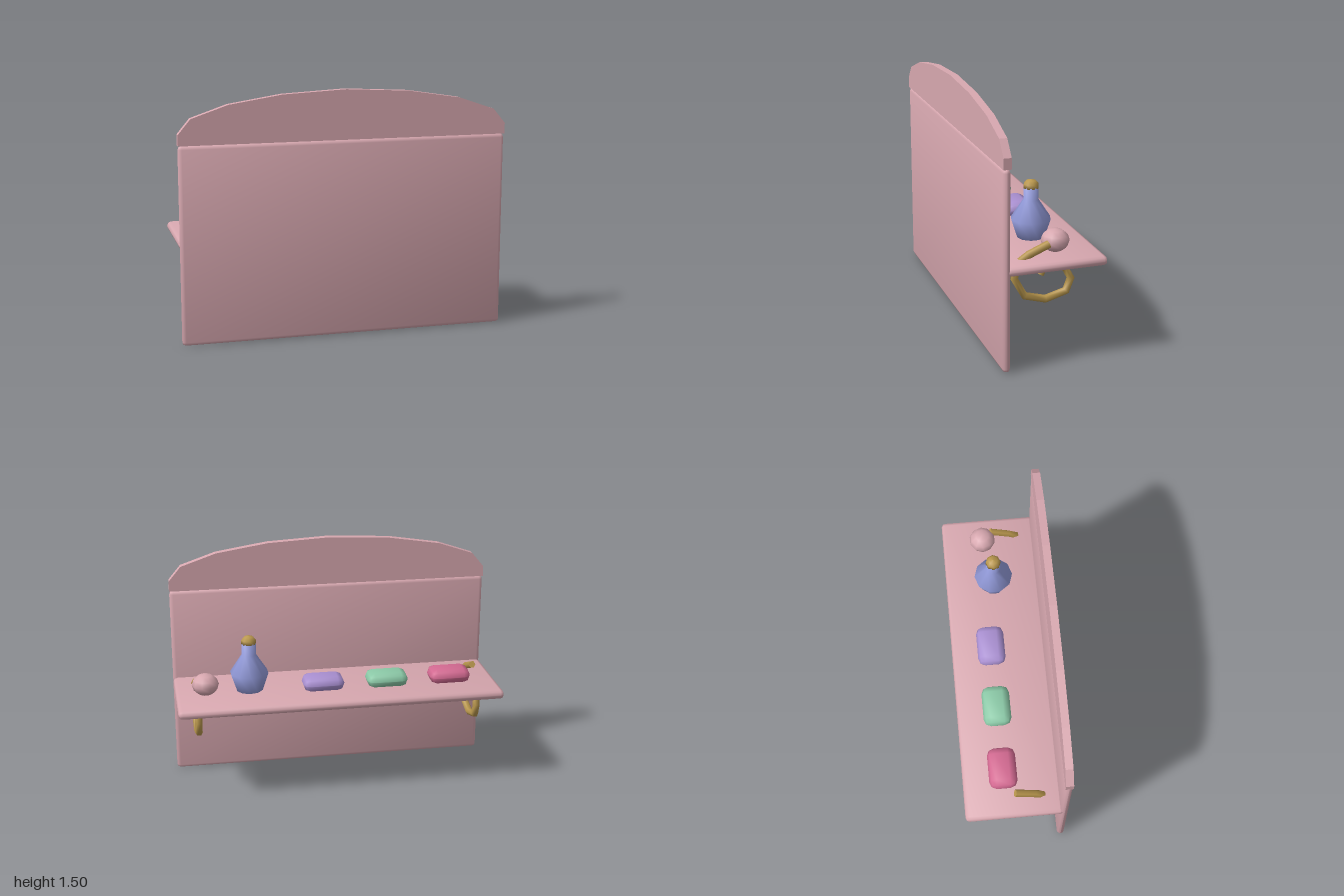
import * as THREE from 'three';
import { mergeVertices } from 'three/addons/utils/BufferGeometryUtils.js';
import { RoundedBoxGeometry } from 'three/addons/geometries/RoundedBoxGeometry.js';

const material = (name, color) => {
  const m = new THREE.MeshStandardMaterial({ color });
  m.name = name;
  return m;
};

// Box with softly shaded chamfered edges: normals come from a small cube
// whose corners are then pushed out to the full size.
function chamferBox(w, h, d, r) {
  const s = r * 3;
  let g = new RoundedBoxGeometry(s, s, s, 1, r);
  g.deleteAttribute('normal');
  g.deleteAttribute('uv');
  g.clearGroups();
  g = mergeVertices(g, 1e-5);
  g.computeVertexNormals();
  const p = g.attributes.position;
  for (let i = 0; i < p.count; i++) {
    p.setXYZ(i,
      p.getX(i) + Math.sign(p.getX(i)) * (w - s) / 2,
      p.getY(i) + Math.sign(p.getY(i)) * (h - s) / 2,
      p.getZ(i) + Math.sign(p.getZ(i)) * (d - s) / 2);
  }
  return g;
}

export function createModel() {
  const group = new THREE.Group();
  group.name = 'washShelf';

  const pink = material('dusty pink', 0xd8a8b0);
  const rose = material('rose', 0xd46a92);
  const green = material('mint green', 0x8ccaa8);
  const purple = material('lavender', 0xaa90d2);
  const blue = material('periwinkle', 0x949cdc);
  const gold = material('gold', 0xba984e);

  const add = (name, geometry, mat, x = 0, y = 0, z = 0, parent = group) => {
    const mesh = new THREE.Mesh(geometry, mat);
    mesh.name = name;
    mesh.position.set(x, y, z);
    parent.add(mesh);
    return mesh;
  };

  // Upright panel and shelf board
  add('panel', chamferBox(2, 1.2, 0.046, 0.0229), pink, 0, 0.6, 0.29);
  add('shelf', chamferBox(2, 0.056, 0.6, 0.025), pink, 0, 0.603, -0.012);

  // Arched crest on top of the panel
  const half = [[1, 1.2], [1, 1.265], [0.925, 1.355], [0.705, 1.43], [0.385, 1.48]];
  const outline = [...half, [0, 1.5], ...half.map(([x, y]) => [-x, y]).reverse()];
  const crest = new THREE.ExtrudeGeometry(
    new THREE.Shape(outline.map(([x, y]) => new THREE.Vector2(x, y))),
    { depth: 0.046, bevelEnabled: false });
  add('crest', crest, pink, 0, 0, 0.267);

  // Row of soap bars
  [[-0.703, rose], [-0.305, green], [0.095, purple]].forEach(([x, mat]) =>
    add('soapBar', chamferBox(0.255, 0.092, 0.172, 0.045), mat, x, 0.674, -0.064));

  // Perfume bottle with domed stopper
  const bottle = [[0, 0.625], [0.08, 0.625], [0.12, 0.745], [0.045, 0.86], [0.045, 0.935], [0, 0.935]];
  add('bottle', new THREE.LatheGeometry(bottle.map(([x, y]) => new THREE.Vector2(x, y)), 10),
    blue, 0.545, 0, -0.008);
  const stopper = [[0, 0.93], [0.047, 0.93], [0.045, 0.955], [0.028, 0.975], [0, 0.981]];
  add('stopper', new THREE.LatheGeometry(stopper.map(([x, y]) => new THREE.Vector2(x, y)), 8),
    gold, 0.545, 0, -0.008);

  // Cotton ball
  add('cottonBall', new THREE.SphereGeometry(0.083, 10, 6).scale(1, 0.81, 1), pink, 0.82, 0.7, -0.056);

  // Curled brackets, given as [z, y] points along the curl
  const curl = [[0, 0.7], [0.12, 0.65], [0.19, 0.605], [0.207, 0.515], [0.145, 0.405],
    [0.02, 0.37], [-0.105, 0.405], [-0.133, 0.48], [-0.092, 0.555], [-0.02, 0.58],
    [0.03, 0.568], [0.053, 0.525]];
  const path = new THREE.CatmullRomCurve3(curl.map(([z, y]) => new THREE.Vector3(0, y, z)));
  // Place the tube rings exactly on the curl points
  path.getPointAt = (t, target) => path.getPoint(t, target);
  path.getTangentAt = (t, target) => path.getTangent(t, target);
  const tube = new THREE.TubeGeometry(path, curl.length - 1, 0.023, 6, false);
  [-1, 1].forEach((side) => {
    const bracket = new THREE.Group();
    bracket.name = side > 0 ? 'leftBracket' : 'rightBracket';
    bracket.position.x = side * 0.873;
    group.add(bracket);
    add('curl', tube, gold, 0, 0, 0, bracket);
    [0, 1].forEach((t) => {
      const p = path.getPoint(t);
      const out = path.getTangent(t).multiplyScalar(t ? 1 : -1);
      const cap = add('curlEnd', new THREE.CircleGeometry(0.023, 6), gold, p.x, p.y, p.z, bracket);
      cap.quaternion.setFromUnitVectors(new THREE.Vector3(0, 0, 1), out);
    });
  });

  return group;
}
